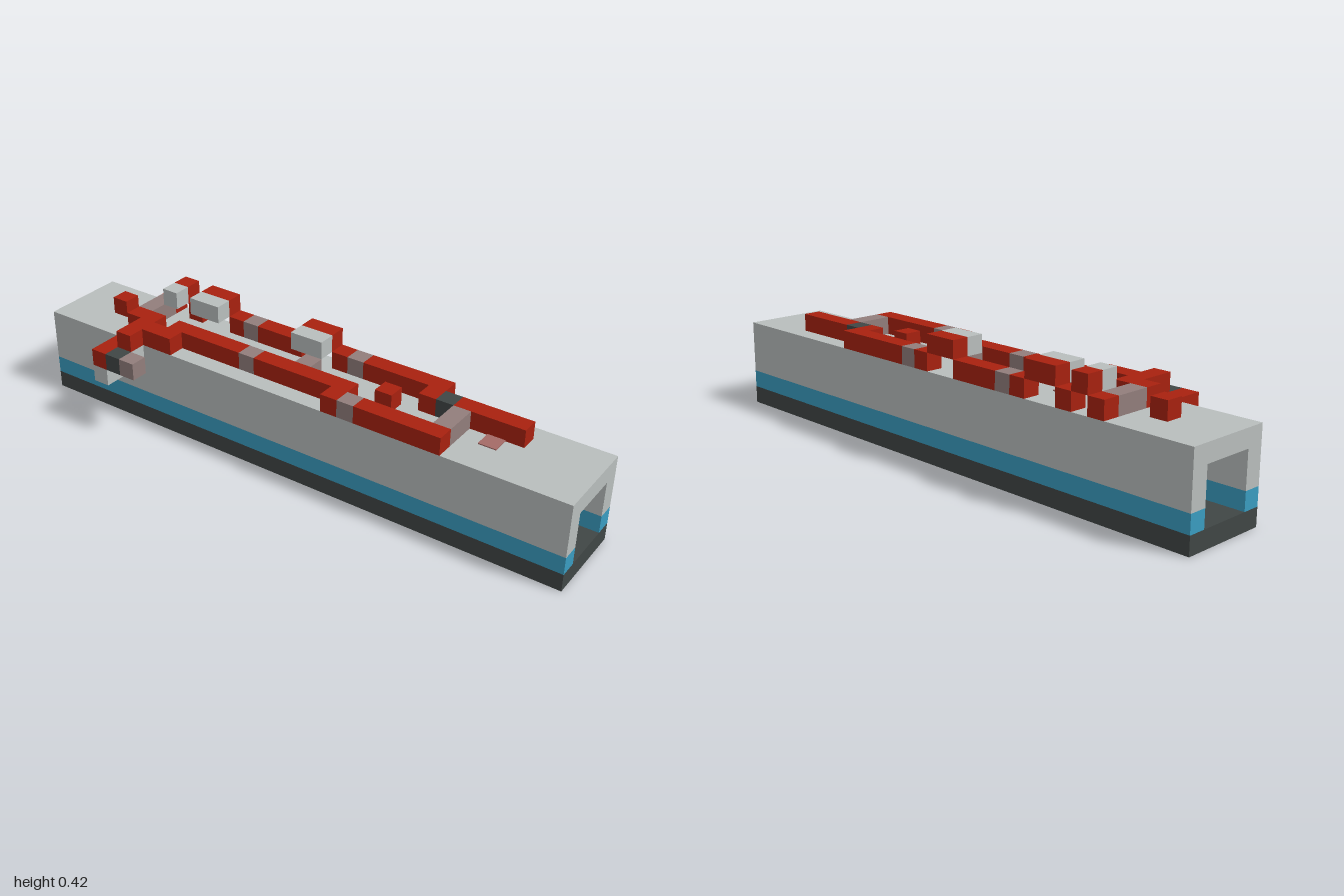
import * as THREE from 'three';

const U = 2 / 33; // one block

export function createModel() {
  const model = new THREE.Group();
  model.name = 'blockTunnel';

  const paint = (name, hex) => {
    const m = new THREE.MeshStandardMaterial({ color: hex });
    m.name = name;
    return m;
  };
  const grey = paint('stoneGrey', 0xb9bebd);
  const blue = paint('stripeBlue', 0x3a9dc1);
  const dark = paint('baseDark', 0x404645);
  const red = paint('trackRed', 0xa8210f);
  const taupe = paint('switchTaupe', 0x927e7c);
  const teal = paint('lampTeal', 0x2d6059);
  const pink = paint('markerPink', 0xa46a66);

  // box spanning block cells: i along x, j up, k along z (back to front)
  const run = (name, mat, i, j, k, ni = 1, nj = 1, nk = 1, parent = model) => {
    const mesh = new THREE.Mesh(new THREE.BoxGeometry(ni * U, nj * U, nk * U), mat);
    mesh.position.set(-1 + (i + ni / 2) * U, (j + nj / 2) * U, (k + nk / 2 - 3.5) * U);
    mesh.name = name;
    parent.add(mesh);
    return mesh;
  };

  // tunnel shell
  run('floor', dark, 0, 0, 0, 33, 1, 5);
  for (const k of [0, 4]) {
    run('wallStripe', blue, 0, 1, k, 33, 1, 1);
    run('wall', grey, 0, 2, k, 33, 2, 1);
  }
  run('roof', grey, 0, 4, 0, 33, 1, 5);

  // blocks hanging under the roof, with a lamp
  for (const i of [9, 15, 27]) run('hangingBlock', grey, i, 3, 2);
  run('lamp', teal, 15, 2, 3);

  // red track on the roof: [start, row, length, depth]
  const track = new THREE.Group();
  track.name = 'roofTrack';
  model.add(track);
  const rails = [
    [5, 0, 1], [7, 0, 1], [10, 0, 1], [12, 0, 3], [17, 0, 1], [19, 0, 5],
    [23, 1, 1], [25, 1, 4],
    [5, 3, 2], [8, 3, 5], [14, 3, 6],
    [6, 4, 3], [19, 4, 1], [21, 4, 5],
    [6, 5, 1], [3, 2, 1], [21, 2, 1],
  ];
  for (const [i, k, n] of rails) run('rail', red, i, 5, k, n, 1, 1, track);

  // switches set into the track
  const switches = [[11, 0], [18, 0], [13, 3], [20, 4], [16, 2]];
  for (const [i, k] of switches) run('switch', taupe, i, 5, k, 1, 1, 1, track);
  run('crossSwitch', taupe, 5, 5, 1, 1, 1, 2, track);
  run('crossSwitch', taupe, 25, 5, 2, 1, 1, 2, track);
  run('darkSwitch', dark, 24, 5, 1, 1, 1, 1, track);

  // raised bridges: red rail behind, grey block in front
  for (const [i, n] of [[6, 1], [8, 2], [15, 2]]) {
    run('bridgeRail', red, i, 6, 0, n, 1, 1, track);
    run('bridgeBlock', grey, i, 6, 1, n, 1, 1, track);
  }

  // thin markers on the roof
  for (const i of [9, 15, 27]) run('roofMarker', pink, i, 5, 2, 1, 0.06, 1);

  // front ledge
  const ledge = new THREE.Group();
  ledge.name = 'frontLedge';
  model.add(ledge);
  run('ledgeSupport', grey, 5, 3, 5, 1, 1, 2, ledge);
  run('ledgeRail', red, 5, 4, 5, 1, 1, 2, ledge);
  run('ledgeBlock', grey, 6, 4, 5, 1, 1, 1, ledge);
  run('ledgeDarkSwitch', dark, 6, 4, 6, 1, 1, 1, ledge);
  run('ledgeSwitch', taupe, 7, 4, 6, 1, 1, 1, ledge);

  return model;
}
